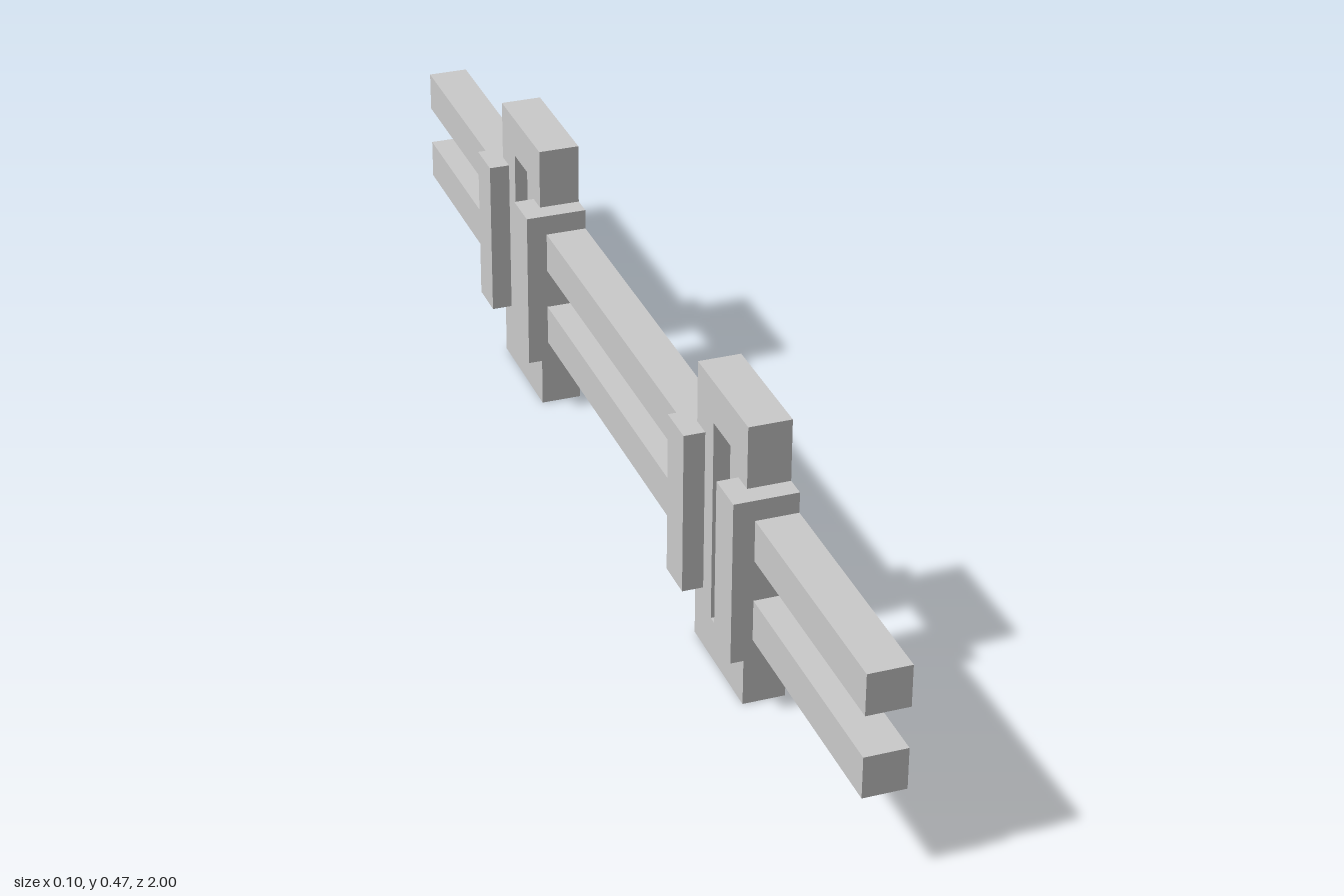
import * as THREE from 'three';

const U = 1 / 30; // grid unit all parts snap to
const FACES = ['+x', '-x', '+y', '-y', '+z', '-z'];
const material = new THREE.MeshStandardMaterial({
  color: 0xcccccc, flatShading: true, side: THREE.DoubleSide,
});

// Box given by its ranges in grid units, with the listed sides left open
function openBox(name, [x0, x1], [y0, y1], [z0, z1], open) {
  const geo = new THREE.BoxGeometry((x1 - x0) * U, (y1 - y0) * U, (z1 - z0) * U);
  geo.translate((x0 + x1) / 2 * U, (y0 + y1) / 2 * U, (z0 + z1) / 2 * U);
  const all = Array.from(geo.index.array);
  geo.setIndex(FACES.flatMap((f, i) => (open.includes(f) ? [] : all.slice(i * 6, i * 6 + 6))));
  geo.clearGroups();
  const mesh = new THREE.Mesh(geo, material);
  mesh.name = name;
  return mesh;
}

// Rectangular outline in the plane of the frame
function rectangle(PathType, hw, y0, y1) {
  const pts = [[-hw, y0], [hw, y0], [hw, y1], [-hw, y1]];
  return new PathType(pts.map(([a, b]) => new THREE.Vector2(a * U, b * U)));
}

// Upright frame with a slot, clasped by two side blocks; open at the back (+x)
function createBracket(zc) {
  const bracket = new THREE.Group();
  bracket.name = 'bracket';
  const depth = [-0.5, 1.5];

  const shape = rectangle(THREE.Shape, 3, 0, 14);
  shape.holes.push(rectangle(THREE.Path, 1, 2, 12));
  const face = new THREE.ShapeGeometry(shape);
  face.rotateY(-Math.PI / 2);
  face.translate(-0.5 * U, 0, 0);
  const faceMesh = new THREE.Mesh(face, material);
  faceMesh.name = 'frameFace';
  bracket.add(
    faceMesh,
    openBox('frameRim', depth, [0, 14], [-3, 3], ['+x', '-x']),
    openBox('frameSlot', depth, [2, 12], [-1, 1], ['+x', '-x']),
  );
  for (const z of [-3, 3]) {
    bracket.add(openBox('sideBlock', [-1.5, 1.5], [3, 11], [z - 1, z + 1], ['+x']));
  }
  bracket.position.z = zc * U;
  return bracket;
}

export function createModel() {
  const model = new THREE.Group();
  model.name = 'railWithBrackets';

  // Two parallel rails, interrupted at the brackets; only the +z tip is capped
  for (const y of [4, 8]) {
    for (const [z0, z1] of [[-30, -18], [-10, 10], [18, 30]]) {
      const open = z1 === 30 ? ['-z'] : ['+z', '-z'];
      model.add(openBox('rail', [-0.5, 1.5], [y, y + 2], [z0, z1], open));
    }
  }

  for (const z of [-14, 14]) model.add(createBracket(z));
  return model;
}
